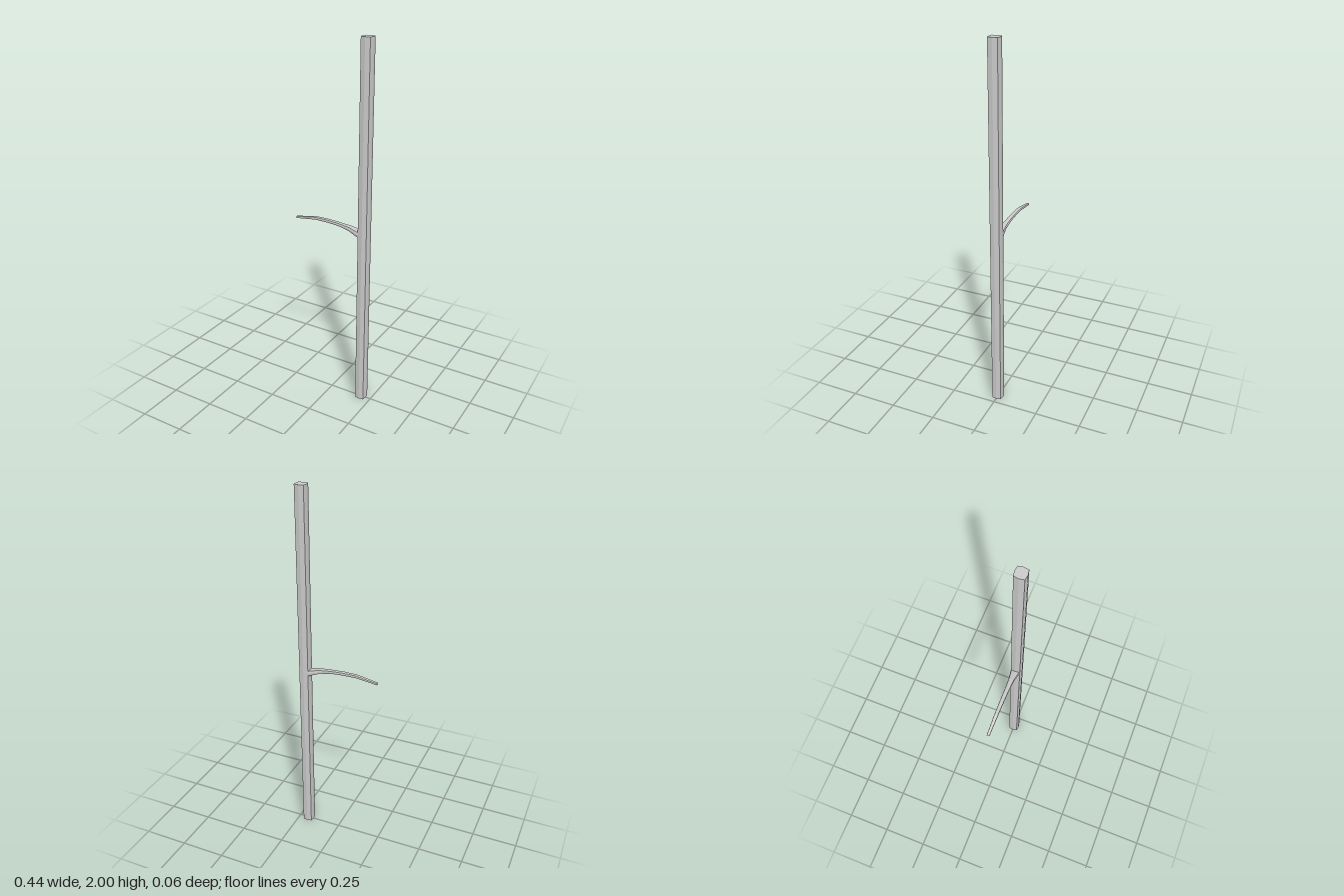
import * as THREE from 'three';

// squarish eight-sided section, unit half-width
const SECTION = [];
for (let i = 0; i < 8; i++) {
  const a = (i * Math.PI) / 4, r = i % 2 ? 1.2 : 1;
  SECTION.push([Math.cos(a) * r, Math.sin(a) * r]);
}

// skin a list of rings and close both ends
function loft(rings) {
  const pos = [];
  const tri = (...pts) => pts.forEach((p) => pos.push(p.x, p.y, p.z));
  const centre = (ring) =>
    ring.reduce((s, p) => s.add(p), new THREE.Vector3()).divideScalar(ring.length);
  const n = SECTION.length, first = rings[0], last = rings[rings.length - 1];
  for (let j = 0; j < n; j++) {
    const k = (j + 1) % n;
    for (let i = 0; i < rings.length - 1; i++) {
      const a = rings[i], b = rings[i + 1];
      tri(a[j], a[k], b[k]);
      tri(a[j], b[k], b[j]);
    }
    tri(centre(first), first[k], first[j]);
    tri(centre(last), last[j], last[k]);
  }
  const g = new THREE.BufferGeometry();
  g.setAttribute('position', new THREE.Float32BufferAttribute(pos, 3));
  g.computeVertexNormals();
  return g;
}

export function createModel() {
  const group = new THREE.Group();
  const material = new THREE.MeshStandardMaterial({ color: 0xcccccc, flatShading: true });
  const add = (name, geometry) => {
    const mesh = new THREE.Mesh(geometry, material);
    mesh.name = name;
    group.add(mesh);
  };

  // straight upright stem
  add('stem', loft([0, 2].map((y) =>
    SECTION.map(([u, v]) => new THREE.Vector3(0.192 + v * 0.0295, y, u * 0.03)))));

  // arched, tapering branch: x, centre y, half height, half width, lean
  const stations = [
    [0.172, 1.0, 0.018, 0.026, 0],
    [0.105, 1.021, 0.011, 0.0155, 0.25],
    [0.04, 1.031, 0.008, 0.0125, 0.12],
    [-0.03, 1.035, 0.008, 0.0115, 0],
    [-0.1, 1.035, 0.0075, 0.0105, -0.12],
    [-0.22, 1.016, 0.005, 0.0078, -0.25],
  ];
  add('branch', loft(stations.map(([x, y, h, w, lean]) =>
    SECTION.map(([u, v]) => new THREE.Vector3(x + v * h * lean, y + v * h, u * w)))));

  return group;
}
